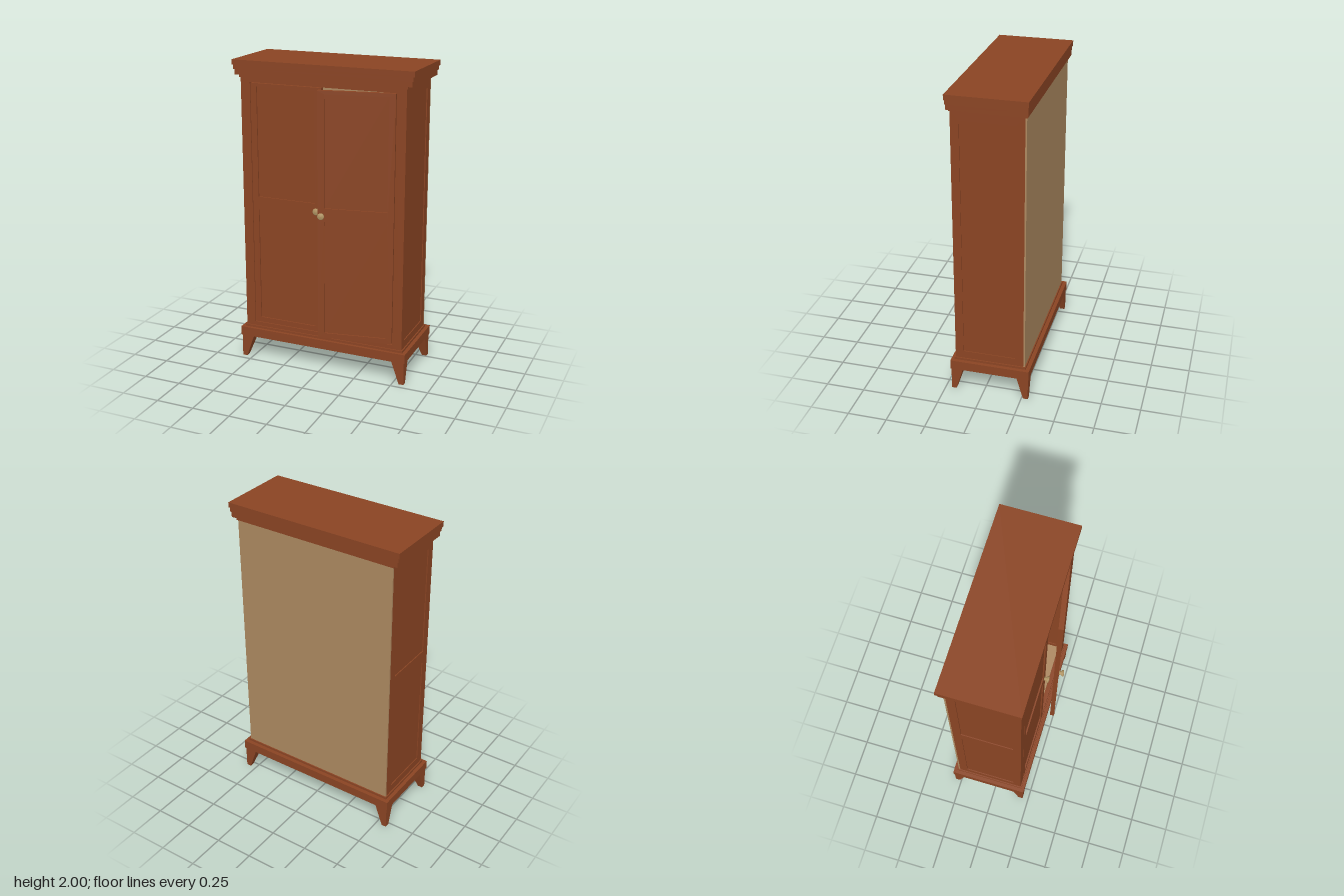
import * as THREE from 'three';

const mat = (name, color) => Object.assign(new THREE.MeshStandardMaterial({ color }), { name });

export function createModel() {
  const wood = mat('reddish wood', 0x8a4423);
  const board = mat('pale backing board', 0xac8860);
  const brass = mat('aged brass', 0xb39664);

  const root = new THREE.Group();
  root.name = 'wardrobe';

  function add(parent, name, geo, material) {
    const m = new THREE.Mesh(geo, material);
    m.name = name;
    parent.add(m);
    return m;
  }

  // Box given by its limits on each axis
  function block(parent, name, [x0, x1], [y0, y1], [z0, z1], material = wood) {
    const geo = new THREE.BoxGeometry(x1 - x0, y1 - y0, z1 - z0);
    geo.translate((x0 + x1) / 2, (y0 + y1) / 2, (z0 + z1) / 2);
    return add(parent, name, geo, material);
  }

  function rectangle(Kind, [x0, x1, y0, y1]) {
    return new Kind([[x0, y0], [x1, y0], [x1, y1], [x0, y1]].map(p => new THREE.Vector2(...p)));
  }

  // Slab with rectangular openings, thickness along +z from 0
  function frame(outer, holes, depth) {
    const s = rectangle(THREE.Shape, outer);
    s.holes = holes.map(h => rectangle(THREE.Path, h));
    return new THREE.ExtrudeGeometry(s, { depth, bevelEnabled: false });
  }

  // Frame with a thinner recessed panel in each opening
  function panelled(name, outer, holes, depth) {
    const g = new THREE.Group();
    g.name = name;
    add(g, name + 'Frame', frame(outer, holes, depth), wood);
    for (const [x0, x1, y0, y1] of holes) {
      block(g, name + 'Panel', [x0, x1], [y0, y1], [depth * 0.3, depth * 0.7]);
    }
    return g;
  }

  // Tapered legs: straight outer corner, sloping inner faces
  for (const sx of [-1, 1]) for (const front of [true, false]) {
    const sz = front ? 1 : -1;
    const outerX = 0.574, outerZ = front ? 0.21 : 0.292;
    const geo = new THREE.BoxGeometry(1, 0.15, 1).toNonIndexed();
    const p = geo.attributes.position;
    for (let i = 0; i < p.count; i++) {
      const top = p.getY(i) > 0;
      const inX = p.getX(i) * sx < 0, inZ = p.getZ(i) * sz < 0;
      p.setXYZ(i,
        sx * (outerX - (inX ? (top ? 0.085 : 0.032) : 0)),
        top ? 0.15 : 0,
        sz * (outerZ - (inZ ? (top ? 0.075 : 0.031) : 0)));
    }
    geo.computeVertexNormals();
    add(root, (front ? 'front' : 'back') + 'Leg' + (sx > 0 ? 'Left' : 'Right'), geo, wood);
  }

  // Stepped base ring, open underneath
  function ring(name, hw, zb, zf, y0, y1, rail) {
    const geo = frame([-hw, hw, -zf, -zb], [[-hw + rail, hw - rail, -zf + rail, -zb - rail]], y1 - y0);
    geo.rotateX(-Math.PI / 2).translate(0, y0, 0);
    add(root, name, geo, wood);
  }
  ring('basePlinth', 0.58, -0.297, 0.215, 0.15, 0.21, 0.055);
  ring('baseMoulding', 0.556, -0.272, 0.195, 0.21, 0.225, 0.05);
  block(root, 'floor', [-0.53, 0.53], [0.226, 0.24], [-0.255, 0.155], board);

  // Back board
  block(root, 'backBoard', [-0.548, 0.548], [0.225, 1.89], [-0.265, -0.255], board);

  // Framed sides: one tall panel on the left, two panels on the right
  const depth = 0.02;
  for (const sx of [1, -1]) {
    const holes = sx > 0
      ? [[-0.2, 0.135, 0.275, 1.835]]
      : [[-0.135, 0.2, 0.275, 1.04], [-0.135, 0.2, 1.125, 1.835]];
    const flipped = holes.map(([a, b, c, d]) => (sx > 0 ? [-b, -a, c, d] : [-b, -a, c, d].map((v, i) => (i < 2 ? -[b, a][i] * -1 : v))));
    const side = sx > 0
      ? panelled('leftSide', [-0.187, 0.255, 0.225, 1.89], flipped, depth)
      : panelled('rightSide', [-0.255, 0.187, 0.225, 1.89], [[-0.2, 0.135, 0.275, 1.04], [-0.2, 0.135, 1.125, 1.835]], depth);
    side.rotation.y = sx * Math.PI / 2;
    side.position.x = sx * (0.548 - depth);
    root.add(side);
  }

  // Front frame around the door opening
  const face = add(root, 'frontFrame', frame([-0.528, 0.528, 0.225, 1.89], [[-0.485, 0.485, 0.252, 1.863]], 0.03), wood);
  face.position.z = 0.157;

  // Doors: right one closed, left one ajar about its outer edge
  const knobGeo = new THREE.LatheGeometry([
    [0, 0], [0.014, 0], [0.011, 0.01], [0.021, 0.022], [0.022, 0.028], [0.017, 0.032], [0, 0.034],
  ].map(p => new THREE.Vector2(...p)), 16).rotateX(Math.PI / 2);

  function door(name, sx) {
    const w = 0.479;
    const span = (a, b) => (sx > 0 ? [-b, -a] : [a, b]);
    const g = panelled(name, [...span(0, w), 0.256, 1.859],
      [[0.29, 1.04], [1.125, 1.838]].map(y => [...span(0.04, w - 0.043), ...y]), 0.03);
    g.children.forEach(c => { c.position.z = -0.03; });
    const knob = add(g, name + 'Knob', knobGeo, brass);
    knob.position.set(-sx * (w - 0.026), 1.08, 0);
    g.position.set(sx * 0.481, 0, 0.187);
    root.add(g);
    return g;
  }
  door('rightDoor', -1);
  door('leftDoor', 1).rotation.y = THREE.MathUtils.degToRad(10);

  // Stepped crown, [half width, back, front, bottom, top]
  [
    [0.556, -0.27, 0.193, 1.89, 1.906],
    [0.584, -0.28, 0.199, 1.906, 1.94],
    [0.591, -0.283, 0.202, 1.94, 1.967],
    [0.599, -0.287, 0.206, 1.967, 2.0],
  ].forEach(([hw, zb, zf, y0, y1], i) => {
    block(root, 'crownTier' + (i + 1), [-hw, hw], [y0, y1], [zb, zf]);
  });

  return root;
}
